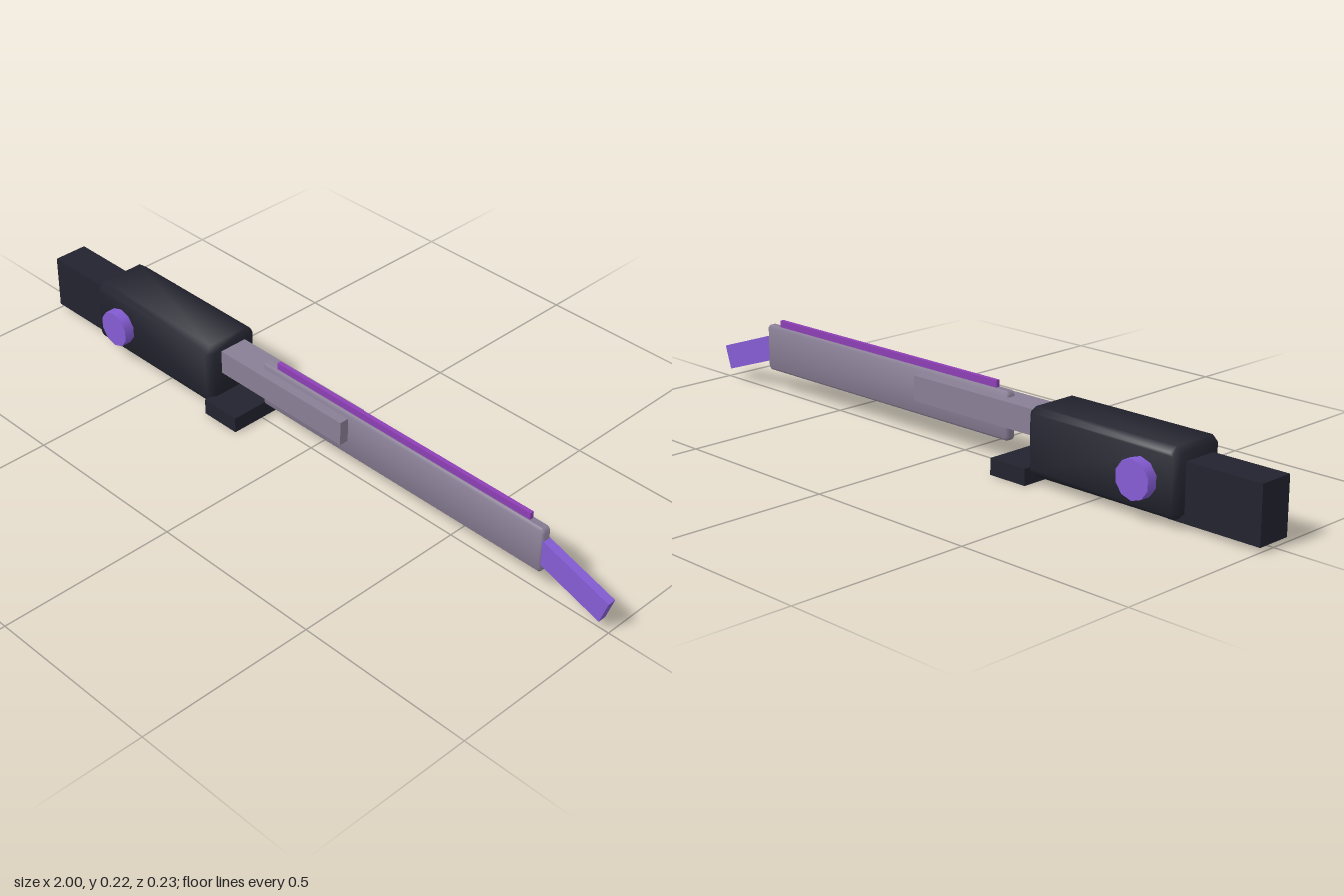
import * as THREE from 'three';
import { toCreasedNormals } from 'three/addons/utils/BufferGeometryUtils.js';

const material = (name, color) => {
  const m = new THREE.MeshStandardMaterial({ color });
  m.name = name;
  return m;
};

// Box given by its lower and upper corner values on each axis
function block(name, mat, [x0, x1], [y0, y1], halfZ) {
  const mesh = new THREE.Mesh(new THREE.BoxGeometry(x1 - x0, y1 - y0, halfZ * 2), mat);
  mesh.position.set((x0 + x1) / 2, (y0 + y1) / 2, 0);
  mesh.name = name;
  return mesh;
}

// Box with every edge chamfered by c (d along z) and softly shaded
function chamferedBlock(name, mat, [x0, x1], [y0, y1], halfZ, c, d) {
  const w = (x1 - x0) / 2 - c, h = (y1 - y0) / 2 - c, k = c * 0.6;
  const shape = new THREE.Shape([
    [-w + k, -h], [w - k, -h], [w, -h + k], [w, h - k],
    [w - k, h], [-w + k, h], [-w, h - k], [-w, -h + k],
  ].map(([x, y]) => new THREE.Vector2(x, y)));
  const depth = 2 * (halfZ - d);
  const geometry = new THREE.ExtrudeGeometry(shape, {
    depth, bevelEnabled: true, bevelSegments: 1, bevelSize: c, bevelThickness: d,
  });
  geometry.translate(0, 0, -depth / 2);
  const mesh = new THREE.Mesh(toCreasedNormals(geometry, 1.0), mat);
  mesh.position.set((x0 + x1) / 2, (y0 + y1) / 2, 0);
  mesh.name = name;
  return mesh;
}

export function createModel() {
  const dark = material('dark casing', 0x23232f);
  const metal = material('grey metal', 0x8a7f96);
  const violet = material('violet', 0x845cd4);
  const magenta = material('magenta glow', 0x8e3fb5);
  const model = new THREE.Group();
  model.name = 'foldingBlade';

  // Casing, rear mount and foot
  model.add(block('rearMount', dark, [-1, -0.73], [0.012, 0.165], 0.05));
  model.add(chamferedBlock('casing', dark, [-0.78, -0.3], [0.02, 0.202], 0.083, 0.014, 0.018));
  model.add(block('foot', dark, [-0.31, -0.19], [0, 0.045], 0.097));

  // Pivot pin through the casing
  const pin = new THREE.Mesh(new THREE.CylinderGeometry(0.052, 0.052, 0.226, 10), violet);
  pin.rotation.x = Math.PI / 2;
  pin.position.set(-0.67, 0.108, 0);
  pin.name = 'pivotPin';
  model.add(pin);

  // Blade with its holder and edge strip
  model.add(block('bladeHolder', metal, [-0.32, 0.15], [0.112, 0.181], 0.042));
  model.add(chamferedBlock('blade', metal, [-0.17, 0.797], [0.064, 0.196], 0.015, 0.007, 0.006));
  model.add(block('edgeStrip', magenta, [-0.12, 0.747], [0.185, 0.215], 0.006));

  // Drooping tip
  const tip = new THREE.Mesh(new THREE.BoxGeometry(0.22, 0.07, 0.024), violet);
  tip.position.set(0.884, 0.096, 0);
  tip.rotation.z = -0.32;
  tip.name = 'bladeTip';
  model.add(tip);

  return model;
}
